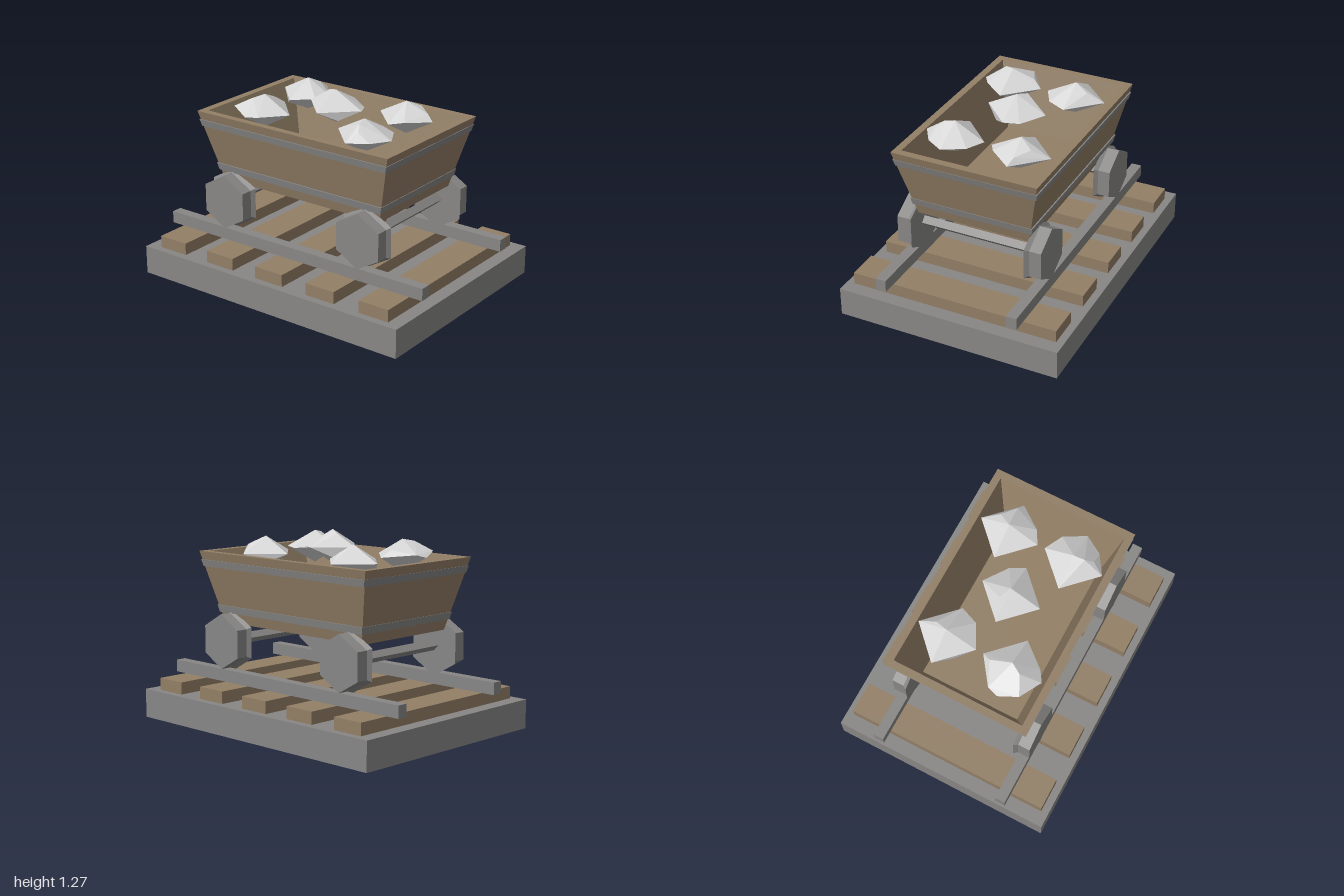
import * as THREE from 'three';
import { ConvexGeometry } from 'three/addons/geometries/ConvexGeometry.js';

const flat = (name, color) => {
  const m = new THREE.MeshStandardMaterial({ color, flatShading: true });
  m.name = name;
  return m;
};

// Joins rectangular loops [halfX, y, halfZ]; optional flat caps at both ends
function loft(loops, capped) {
  const pos = [];
  const corners = ([x, y, z]) => [[x, y, z], [x, y, -z], [-x, y, -z], [-x, y, z]];
  const quad = (a, b, c, d) => pos.push(...a, ...b, ...c, ...a, ...c, ...d);
  const rings = loops.map(corners);
  for (let k = 0; k < rings.length - 1; k++) {
    for (let i = 0; i < 4; i++) {
      const j = (i + 1) % 4;
      quad(rings[k][i], rings[k][j], rings[k + 1][j], rings[k + 1][i]);
    }
  }
  if (capped) {
    quad(...rings[0].slice().reverse());
    quad(...rings[rings.length - 1]);
  }
  const g = new THREE.BufferGeometry();
  g.setAttribute('position', new THREE.Float32BufferAttribute(pos, 3));
  g.computeVertexNormals();
  return g;
}

export function createModel() {
  const wood = flat('wood', 0x927f66);
  const metal = flat('grey metal and stone', 0x888786);
  const ore = flat('pale ore', 0xd6d6d6);

  const model = new THREE.Group();
  model.name = 'mineCart';
  const add = (parent, name, geometry, material, x = 0, y = 0, z = 0) => {
    const mesh = new THREE.Mesh(geometry, material);
    mesh.name = name;
    mesh.position.set(x, y, z);
    parent.add(mesh);
    return mesh;
  };

  // Track: slab, sleepers and rails
  add(model, 'groundSlab', new THREE.BoxGeometry(1.5, 0.19, 2), metal, 0, 0.095, 0);
  for (let i = -2; i <= 2; i++) {
    add(model, 'sleeper', new THREE.BoxGeometry(1.4, 0.08, 0.215), wood, 0, 0.23, i * 0.4);
  }
  for (const s of [-1, 1]) {
    add(model, 'rail', new THREE.BoxGeometry(0.07, 0.08, 2), metal, s * 0.447, 0.31, 0);
  }

  // Hexagonal wheels with a flared inner flange, on square axles
  const roller = (r1, r0, length, sides, start) =>
    new THREE.CylinderGeometry(r1, r0, length, sides, 1, false, start).rotateZ(-Math.PI / 2);
  const tread = roller(0.181, 0.181, 0.08, 6, Math.PI / 6);
  const flange = roller(0.181, 0.203, 0.026, 6, Math.PI / 6);
  const axle = roller(0.036, 0.036, 0.8, 4, 0);
  for (const z of [-0.53, 0.53]) {
    add(model, 'axle', axle, metal, 0, 0.534, z);
    for (const s of [-1, 1]) {
      const wheel = new THREE.Group();
      wheel.name = 'wheel';
      wheel.position.set(0, 0.533, z);
      if (s < 0) wheel.rotation.y = Math.PI;
      add(wheel, 'tread', tread, metal, 0.454);
      add(wheel, 'flange', flange, metal, 0.401);
      model.add(wheel);
    }
  }

  // Hollow flared tub
  add(model, 'tub', loft([
    [0.382, 0.642, 0.615], [0.488, 1.11, 0.74],
    [0.44, 1.11, 0.69], [0.338, 0.68, 0.56],
  ], true), wood);

  // Metal bands around the tub
  const band = (y0, y1, x0, x1, z0, z1) => add(model, 'band', loft([
    [x0 - 0.02, y0, z0 - 0.02], [x0, y0, z0], [x1, y1, z1], [x1 - 0.02, y1, z1 - 0.02],
  ], false), metal);
  band(0.71, 0.757, 0.408, 0.417, 0.638, 0.65);
  band(1.01, 1.055, 0.474, 0.484, 0.716, 0.729);

  // Ore lumps: a squashed octahedron plus a few extra corners each
  const lumps = [
    [0, 1.165, 0, [[0.04, 0.085, -0.075], [0.095, -0.01, 0.155], [-0.1, -0.06, 0.09], [0.1, -0.06, -0.09]]],
    [-0.22, 1.115, -0.4, [[0.07, 0.02, -0.18], [0.14, 0.045, -0.03], [-0.125, 0.03, -0.15], [-0.07, 0.09, -0.04], [-0.155, 0, 0.07]]],
    [0.23, 1.115, -0.4, [[-0.12, 0.01, 0.15], [0.09, 0.06, 0.03], [-0.1, -0.06, -0.09]]],
    [-0.23, 1.115, 0.39, [[0.14, 0, 0.12], [-0.12, 0.05, 0.04], [-0.12, 0, 0.125], [-0.07, 0.09, 0.01]]],
    [0.22, 1.11, 0.39, [[-0.15, 0.015, 0.085], [0.09, 0.06, 0.055], [0.02, 0.04, 0.15], [0.1, -0.06, -0.09]]],
  ];
  const core = [[0.2, 0, 0], [-0.2, 0, 0], [0, 0, 0.2], [0, 0, -0.2], [0, 0.105, 0], [0, -0.11, 0]];
  for (const [x, y, z, extra] of lumps) {
    const points = [...core, ...extra].map((p) => new THREE.Vector3(...p));
    add(model, 'oreLump', new ConvexGeometry(points), ore, x, y, z);
  }
  return model;
}
